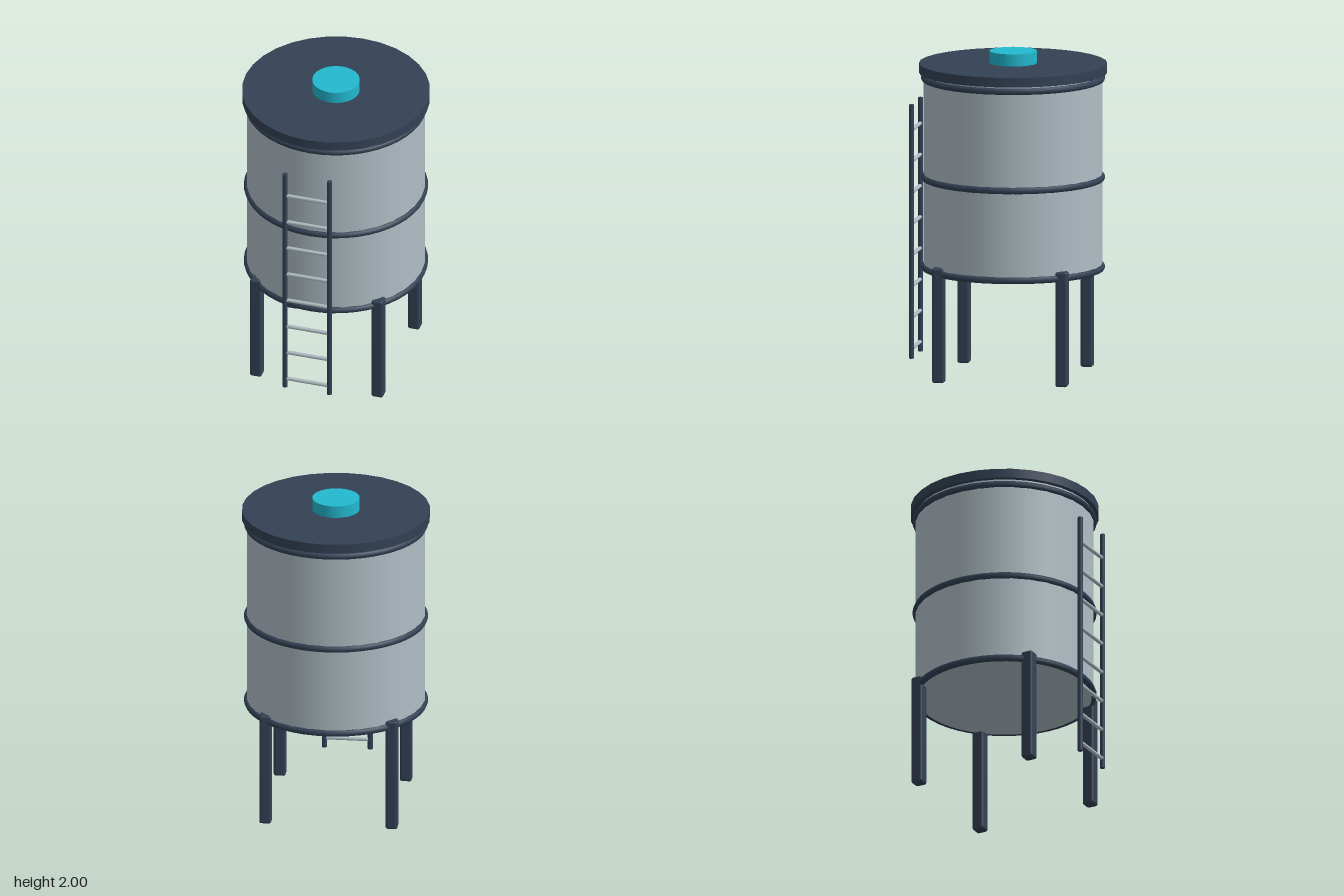
import * as THREE from 'three';
import { RoundedBoxGeometry } from 'three/addons/geometries/RoundedBoxGeometry.js';

export function createModel() {
  const model = new THREE.Group();
  model.name = 'storageTank';

  const paint = (name, color) => {
    const m = new THREE.MeshStandardMaterial({ color });
    m.name = name;
    return m;
  };
  const steel = paint('pale steel', 0xb0bec5);
  const frame = paint('dark slate', 0x334155);
  const accent = paint('cyan', 0x22b8cf);

  const add = (parent, name, geometry, material, x, y, z) => {
    const mesh = new THREE.Mesh(geometry, material);
    mesh.name = name;
    mesh.position.set(x, y, z);
    parent.add(mesh);
    return mesh;
  };
  // Upright cylinder between two heights
  const drum = (parent, name, r, y0, y1, material, x = 0, z = 0, sides = 32) =>
    add(parent, name, new THREE.CylinderGeometry(r, r, y1 - y0, sides), material, x, (y0 + y1) / 2, z);

  // The tank sits slightly back to make room for the ladder
  const tank = new THREE.Group();
  tank.name = 'tank';
  tank.position.z = -0.023;
  model.add(tank);

  drum(tank, 'body', 0.545, 0.65, 1.866, steel);
  drum(tank, 'lid', 0.574, 1.866, 1.925, frame);
  drum(tank, 'hatchCap', 0.145, 1.925, 2, accent);

  // Reinforcing hoops
  const hoop = new THREE.TorusGeometry(0.54, 0.022, 8, 48).rotateX(Math.PI / 2);
  for (const y of [0.668, 1.222, 1.835]) add(tank, 'hoop', hoop, frame, 0, y, 0);

  // Four legs with softened edges
  const leg = new RoundedBoxGeometry(0.074, 0.71, 0.074, 2, 0.014);
  for (const sx of [-1, 1]) {
    for (const sz of [-1, 1]) add(tank, 'leg', leg, frame, sx * 0.387, 0.355, sz * 0.383);
  }

  // Ladder: two rails and eight rungs
  const ladder = new THREE.Group();
  ladder.name = 'ladder';
  ladder.position.z = 0.581;
  model.add(ladder);
  for (const side of [-1, 1]) drum(ladder, 'rail', 0.016, 0.102, 1.67, frame, side * 0.141, 0, 12);
  const rung = new THREE.CylinderGeometry(0.012, 0.012, 0.282, 8).rotateZ(Math.PI / 2);
  for (let i = 0; i < 8; i++) add(ladder, 'rung', rung, steel, 0, 0.162 + i * 0.1927, 0);

  return model;
}
